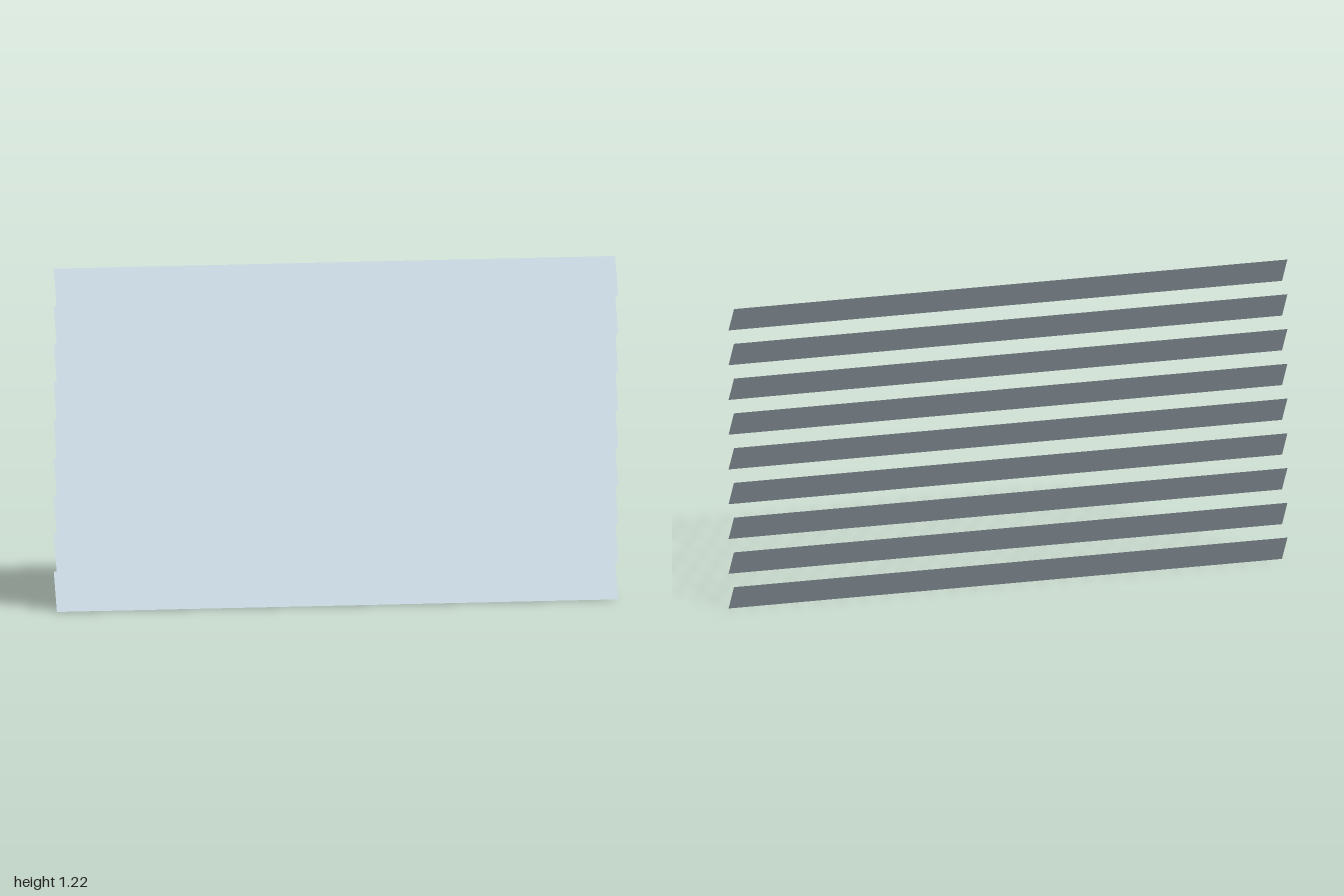
import * as THREE from 'three';

const SLATS = 9;
const WIDTH = 2;
const RISE = 0.128;   // vertical extent of one tilted slat
const DEPTH = 0.094;  // front-to-back extent of one tilted slat
const PITCH = 0.1364; // vertical spacing

export function createModel() {
  const group = new THREE.Group();
  group.name = 'louvreBlind';

  const slatMaterial = new THREE.MeshStandardMaterial({ color: 0xbccdd7, side: THREE.DoubleSide });
  slatMaterial.name = 'pale blue grey';

  // One paper-thin slat, leaning back so its top edge sits behind its bottom edge
  const slatGeometry = new THREE.PlaneGeometry(WIDTH, Math.hypot(RISE, DEPTH));
  slatGeometry.rotateX(-Math.atan2(DEPTH, RISE));

  // Evenly stacked slats, the lowest resting on the ground
  for (let i = 0; i < SLATS; i++) {
    const slat = new THREE.Mesh(slatGeometry, slatMaterial);
    slat.name = `slat${i + 1}`;
    slat.position.y = RISE / 2 + i * PITCH;
    group.add(slat);
  }
  return group;
}
